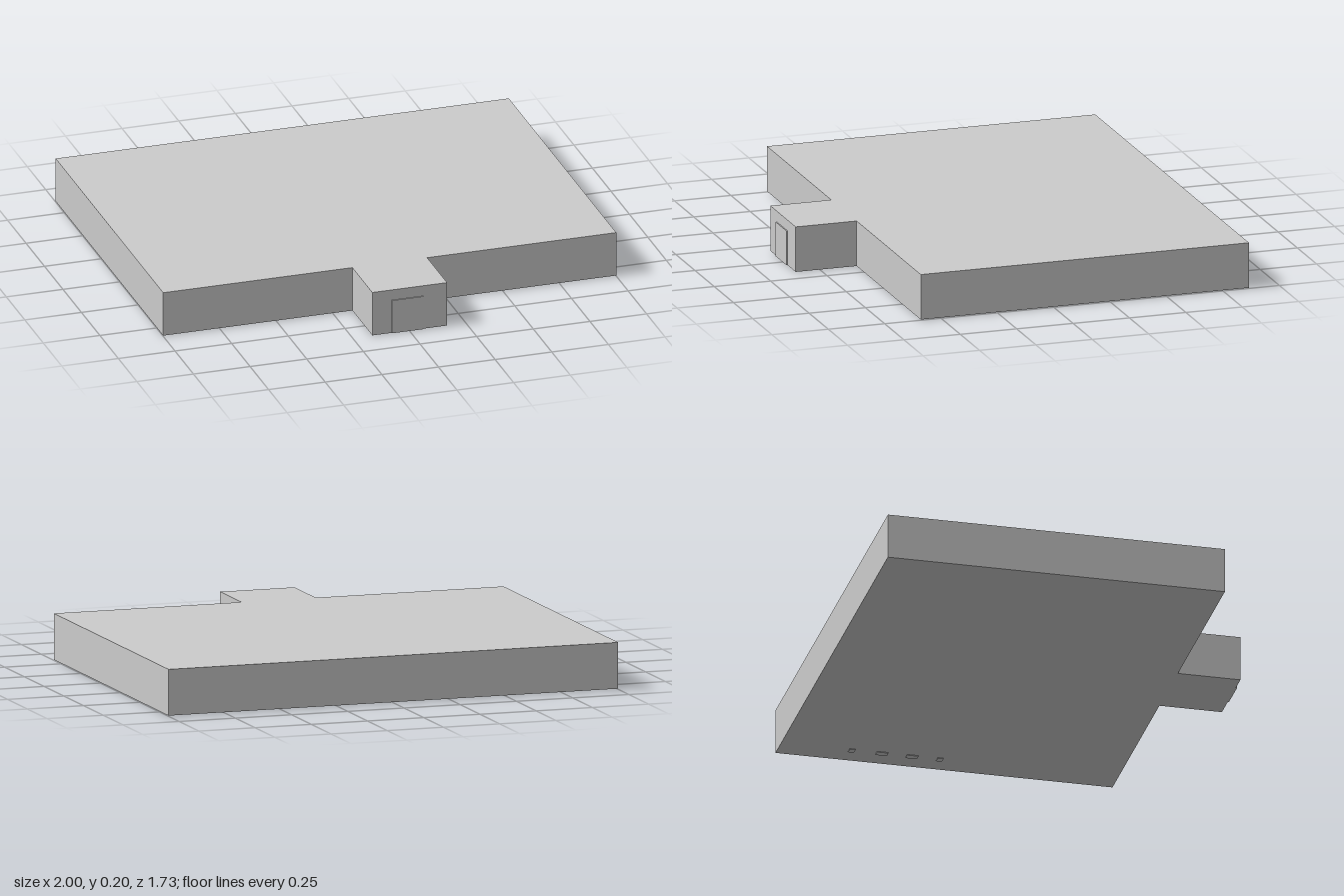
import * as THREE from 'three';

export function createModel() {
  const group = new THREE.Group();
  const material = new THREE.MeshStandardMaterial({ color: 0xcccccc, flatShading: true });
  const lift = 0.003;

  const addPart = (name, geometry, x, y, z) => {
    const mesh = new THREE.Mesh(geometry, material);
    mesh.name = name;
    mesh.position.set(x, y, z);
    group.add(mesh);
    return mesh;
  };

  // T-shaped slab: outline in plan (x, -z), extruded upward
  const outline = [
    [-1, -0.59], [-0.165, -0.59], [-0.165, -0.86], [0.165, -0.86],
    [0.165, -0.59], [1, -0.59], [1, 0.865], [-1, 0.865],
  ];
  const shape = new THREE.Shape(outline.map(([x, y]) => new THREE.Vector2(x, y)));
  const slab = new THREE.ExtrudeGeometry(shape, { depth: 0.2 - lift, bevelEnabled: false });
  slab.rotateX(-Math.PI / 2);
  addPart('slabWithEntrance', slab, 0, lift, 0);

  // Thin door panel on the front of the projecting block
  addPart('doorPanel', new THREE.BoxGeometry(0.14, 0.15, 0.01), -0.01, 0.075 + lift, 0.86);

  // Shallow pads under the base, near its left edge
  for (const [z, length] of [[-0.18, 0.025], [-0.3, 0.05], [-0.43, 0.05], [-0.56, 0.025]]) {
    addPart('basePad', new THREE.BoxGeometry(0.03, 2 * lift, length), 0.9, lift, z);
  }

  return group;
}
